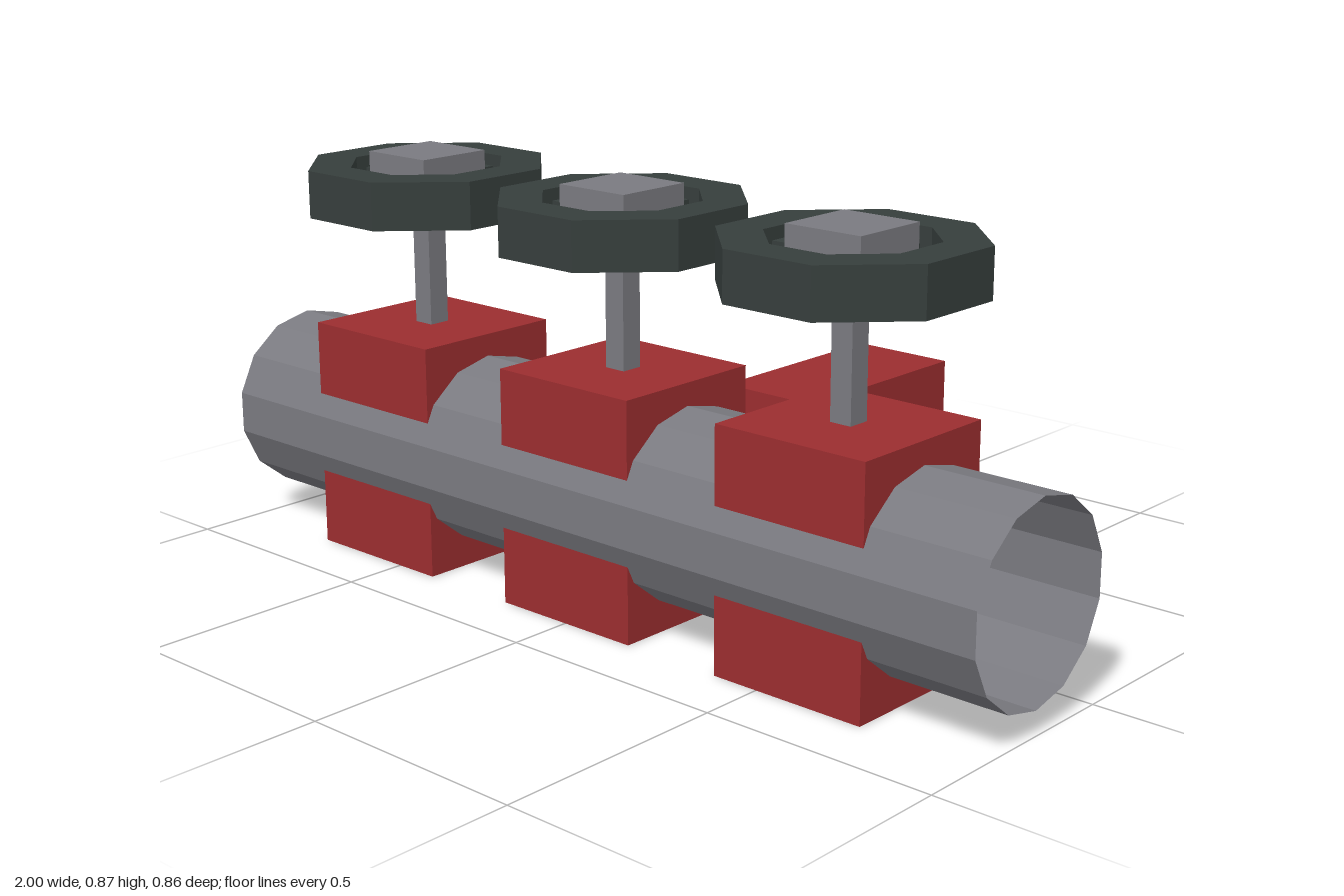
import * as THREE from 'three';

const material = (name, color, extra = {}) => {
  const m = new THREE.MeshStandardMaterial({ color, flatShading: true, ...extra });
  m.name = name;
  return m;
};

// Regular octagon with flat sides facing the axes
function octagon(path, apothem) {
  const r = apothem / Math.cos(Math.PI / 8);
  const points = [];
  for (let i = 0; i < 8; i++) {
    const a = (i + 0.5) * Math.PI / 4;
    points.push(new THREE.Vector2(r * Math.cos(a), r * Math.sin(a)));
  }
  return path.setFromPoints(points);
}

export function createModel() {
  const red = material('red paint', 0x9b2d2f);
  const steel = material('grey steel', 0x7a7a80, { side: THREE.DoubleSide });
  const dark = material('dark rubber', 0x363e3c);
  const model = new THREE.Group();
  model.name = 'valvePipe';
  const axisZ = 0.19;

  const add = (parent, name, geometry, mat, x, y, z) => {
    const mesh = new THREE.Mesh(geometry, mat);
    mesh.name = name;
    mesh.position.set(x, y, z);
    parent.add(mesh);
    return mesh;
  };
  const box = (parent, name, mat, w, h, d, x, y, z) =>
    add(parent, name, new THREE.BoxGeometry(w, h, d), mat, x, y, z);

  // Open pipe with a ridge along its top
  const pipe = new THREE.CylinderGeometry(0.2, 0.2, 2, 14, 1, true);
  pipe.rotateZ(Math.PI / 2);
  const vertexAngle = Math.atan2(pipe.attributes.position.getZ(0), pipe.attributes.position.getY(0));
  pipe.rotateX(-vertexAngle);
  add(model, 'pipe', pipe, steel, 0, 0.25, axisZ);

  // Block behind the pipe
  box(model, 'rearBlock', red, 0.222, 0.397, 0.445, 0.233, 0.249, -0.2075);

  // Octagonal wheel rim lying flat
  const rimShape = octagon(new THREE.Shape(), 0.24);
  rimShape.holes.push(octagon(new THREE.Path(), 0.155));
  const rim = new THREE.ExtrudeGeometry(rimShape, { depth: 0.1, bevelEnabled: false });
  rim.rotateX(-Math.PI / 2);

  // Three valves along the pipe
  for (const x of [-0.57, 0, 0.57]) {
    const valve = new THREE.Group();
    valve.name = 'valve';
    valve.position.set(x, 0, axisZ);
    model.add(valve);
    box(valve, 'valveBody', red, 0.347, 0.497, 0.348, 0, 0.2485, 0);
    box(valve, 'stem', steel, 0.048, 0.25, 0.048, 0, 0.615, 0);
    add(valve, 'wheelRim', rim, dark, 0, 0.745, 0);
    box(valve, 'hub', steel, 0.172, 0.136, 0.172, 0, 0.801, 0);
    for (const s of [-1, 1]) {
      box(valve, 'spoke', dark, 0.09, 0.05, 0.075, s * 0.125, 0.795, 0);
      box(valve, 'spoke', dark, 0.075, 0.05, 0.09, 0, 0.795, s * 0.125);
    }
  }
  return model;
}
